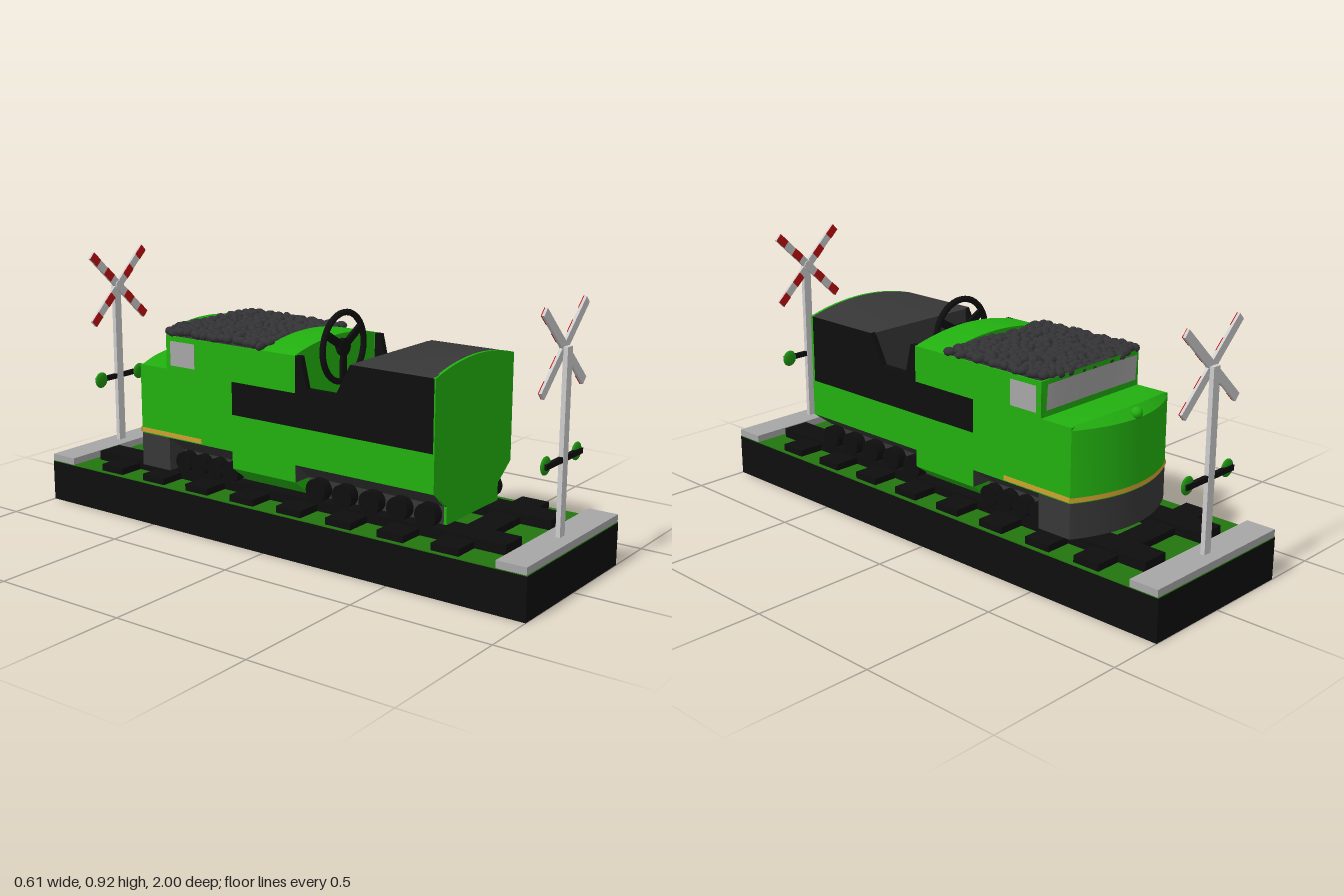
import * as THREE from 'three';

const mat = (name, color, side = THREE.FrontSide) => {
  const m = new THREE.MeshStandardMaterial({ color, side });
  m.name = name;
  return m;
};

export function createModel() {
  const D = THREE.DoubleSide;
  const green = mat('bright green', 0x22b010, D);
  const grass = mat('dark green', 0x22750f);
  const signal = mat('signal green', 0x1f9412);
  const black = mat('black', 0x0e0e0e);
  const grey = mat('dark grey', 0x373737, D);
  const coalGrey = mat('coal grey', 0x333336);
  const concrete = mat('mid grey', 0xa6a6a6, D);
  const white = mat('light grey', 0xcccccc);
  const yellow = mat('amber', 0xd0a030, D);
  const red = mat('red', 0xc01010);

  const model = new THREE.Group();
  const add = (name, geo, m, parent = model) => {
    const mesh = new THREE.Mesh(geo, m);
    mesh.name = name;
    parent.add(mesh);
    return mesh;
  };
  // box given by its limits
  const box = (name, x0, x1, y0, y1, z0, z1, m, parent) => {
    const mesh = add(name, new THREE.BoxGeometry(x1 - x0, y1 - y0, z1 - z0), m, parent);
    mesh.position.set((x0 + x1) / 2, (y0 + y1) / 2, (z0 + z1) / 2);
    return mesh;
  };
  const shapeOf = pts => new THREE.Shape(pts.map(p => new THREE.Vector2(...p)));
  // outline in (z, y), extruded inwards from both flanks
  const flanks = (name, pts, thick, m, outer = 0.24) => {
    for (const s of [1, -1]) {
      const g = new THREE.ExtrudeGeometry(shapeOf(pts), { depth: thick, bevelEnabled: false });
      g.rotateY(-Math.PI / 2);
      g.translate(s > 0 ? outer : -outer + thick, 0, 0);
      add(name, g, m);
    }
  };
  // surface f(u, v) -> [x, y, z], u in -1..1 across, v in 0..1
  const sheet = (name, f, m, nu = 16, nv = 1) => {
    const g = new THREE.PlaneGeometry(2, 1, nu, nv);
    const p = g.attributes.position;
    for (let i = 0; i < p.count; i++) p.setXYZ(i, ...f(p.getX(i), p.getY(i) + 0.5));
    g.computeVertexNormals();
    return add(name, g, m);
  };
  const bow = u => 1 - u * u;

  // track bed
  box('trackBase', -0.305, 0.305, 0, 0.147, -1, 1, black);
  box('ground', -0.305, 0.305, 0.147, 0.15, -1, 1, grass);
  for (let i = 0; i < 8; i++) {
    const z = -0.71 + i * 0.202;
    box('sleeper', -0.29, 0.29, 0.15, 0.174, z - 0.05, z + 0.05, black);
  }
  for (const s of [1, -1]) {
    box('rail', s * 0.145 - 0.05, s * 0.145 + 0.05, 0.15, 0.184, -0.865, 0.865, black);
    box('endSlab', -0.305, 0.305, 0.15, 0.175, s * 0.945 - 0.053, s * 0.945 + 0.053, concrete);
  }

  // flanks
  flanks('blackSidePanel', [[0.625, 0.44], [-0.18, 0.44], [-0.18, 0.555], [0.09, 0.555], [0.09, 0.68],
    [0.112, 0.68], [0.137, 0.575], [0.255, 0.575], [0.31, 0.68], [0.625, 0.68]], 0.022, black);
  flanks('greenSidePanel', [[0.625, 0.31], [0.625, 0.44], [-0.18, 0.44], [-0.18, 0.555], [0.09, 0.555],
    [0.09, 0.68], [-0.475, 0.68], [-0.475, 0.56], [-0.6, 0.56], [-0.6, 0.31], [-0.18, 0.31],
    [-0.18, 0.25], [0.09, 0.25], [0.09, 0.31]], 0.022, green);
  flanks('noseSideSkirt', [[-0.47, 0.19], [-0.47, 0.31], [-0.6, 0.31], [-0.6, 0.19]], 0.022, grey);
  flanks('sideStripe', [[-0.32, 0.314], [-0.32, 0.33], [-0.6, 0.33], [-0.6, 0.314]], 0.004, yellow, 0.242);
  flanks('sideWindow', [[-0.345, 0.575], [-0.345, 0.662], [-0.455, 0.662], [-0.455, 0.575]], 0.004, concrete, 0.242);

  // underside: slanted skirts, frame and wheels
  box('underframe', -0.16, 0.16, 0.19, 0.31, -0.6, 0.62, grey);
  for (const s of [1, -1]) {
    const slant = (name, x0, y0, x1, y1, z0, z1, m) => sheet(name,
      (u, v) => [s * (x0 + (x1 - x0) * v), y0 + (y1 - y0) * v, z0 + (z1 - z0) * (u + 1) / 2], m, 1);
    slant('rearBogieSkirt', 0.24, 0.31, 0.16, 0.25, 0.09, 0.63, grey);
    slant('frontBogieSkirt', 0.24, 0.31, 0.16, 0.25, -0.47, -0.18, grey);
    slant('middleSkirt', 0.24, 0.25, 0.16, 0.19, -0.18, 0.09, green);
    for (const z of [0.58, 0.473, 0.365, 0.257, 0.15, -0.22, -0.29, -0.362, -0.433]) {
      const r = z > 0 ? 0.04 : 0.036;
      const g = new THREE.CylinderGeometry(r, r, 0.04, 20).rotateZ(Math.PI / 2);
      add('wheel', g, black).position.set(s * 0.19, 0.184 + r, z);
    }
  }
  for (const z of [0.088, -0.178]) {
    box('bulkhead', -0.238, 0.238, 0.25, 0.31, z - 0.003, z + 0.003, grey);
    const end = shapeOf([[-0.24, 0.25], [-0.16, 0.19], [0.16, 0.19], [0.24, 0.25]]);
    add('middleSkirtEnd', new THREE.ShapeGeometry(end), green).position.z = z;
  }
  box('noseBulkhead', -0.238, 0.238, 0.19, 0.31, -0.476, -0.47, grey);

  // rear panel with arched top
  const rear = shapeOf([[0.24, 0.68], [0.24, 0.31], [0.16, 0.25], [0.16, 0.19], [-0.16, 0.19], [-0.16, 0.25],
    [-0.24, 0.31], [-0.24, 0.68]]);
  rear.quadraticCurveTo(0, 0.75, 0.24, 0.68);
  add('rearPanel', new THREE.ExtrudeGeometry(rear, { depth: 0.01, bevelEnabled: false, curveSegments: 16 }), green)
    .position.z = 0.62;

  // rear hood, fading from arched to flat, and the driver's pit
  sheet('rearHoodTop', (u, v) => [0.24 * u, 0.68 + 0.035 * bow(u) * v, 0.31 + 0.315 * v], grey);
  box('rearHoodFront', -0.22, 0.22, 0.45, 0.679, 0.305, 0.315, grey);
  box('pitFloor', -0.22, 0.22, 0.44, 0.46, 0.08, 0.31, grey);

  // dash block with arched roof
  const dash = shapeOf([[0.238, 0.68], [0.238, 0.45], [-0.238, 0.45], [-0.238, 0.68]]);
  dash.quadraticCurveTo(0, 0.745, 0.238, 0.68);
  add('dashBlock', new THREE.ExtrudeGeometry(dash, { depth: 0.14, bevelEnabled: false, curveSegments: 16 }), green)
    .position.z = -0.052;

  // steering wheel
  const steering = new THREE.Group();
  steering.name = 'steeringWheel';
  steering.position.set(0, 0.672, 0.112);
  model.add(steering);
  add('wheelRim', new THREE.TorusGeometry(0.118, 0.011, 10, 40), black, steering);
  add('wheelHub', new THREE.CylinderGeometry(0.03, 0.03, 0.018, 20).rotateX(Math.PI / 2), black, steering);
  add('steeringColumn', new THREE.CylinderGeometry(0.015, 0.015, 0.04, 12).rotateX(Math.PI / 2), black, steering)
    .position.z = -0.02;
  for (const a of [30, 150, 270]) {
    const g = new THREE.BoxGeometry(0.115, 0.026, 0.012).translate(0.058, 0, 0);
    add('wheelSpoke', g, black, steering).rotation.z = a * Math.PI / 180;
  }

  // coal load
  box('coalBed', -0.235, 0.235, 0.6, 0.682, -0.473, -0.052, coalGrey);
  let seed = 7;
  const rnd = () => (seed = (seed * 16807) % 2147483647) / 2147483647;
  const lump = new THREE.SphereGeometry(1, 9, 6);
  const coal = new THREE.Group();
  coal.name = 'coalLoad';
  model.add(coal);
  for (let i = 0; i < 17; i++) for (let j = 0; j < 16; j++) {
    const m = add('coalLump', lump, coalGrey, coal);
    const x = -0.222 + 0.444 * i / 16 + (rnd() - 0.5) * 0.016;
    const k = j / 15;
    const z = -0.068 - k * (0.395 + 0.035 * bow(x / 0.24)) + (rnd() - 0.5) * 0.016;
    m.position.set(x, 0.688 + rnd() * 0.008, z);
    m.scale.set(0.013 + rnd() * 0.007, 0.015, 0.017 + rnd() * 0.008);
    m.rotation.y = rnd() * Math.PI;
  }

  // windscreen leaning forwards, with its header
  const screen = (u, v, out = 0) =>
    [0.24 * u, 0.56 + v * (0.12 + 0.025 * bow(u)), -0.475 - 0.045 * v * bow(u) - out];
  sheet('windscreenFrame', (u, v) => screen(u, v), green);
  sheet('windscreen', (u, v) => screen(u * 0.92, 0.18 + 0.7 * v, 0.004), concrete);
  sheet('windscreenHeader', (u, v) => {
    const [x, y, z] = screen(u, 1);
    return [x, y - 0.02 * bow(u) * v, z + 0.02 * v];
  }, green);

  // bowed nose
  const nose = (u, y, out = 0) => [(0.24 + out) * u, y, -0.6 - 0.07 * bow(u) - out];
  const brow = u => [0.24 * u, 0.56 + 0.02 * bow(u), -0.59 - 0.045 * bow(u)];
  sheet('noseSkirt', (u, v) => nose(u, 0.19 + 0.12 * v), grey);
  sheet('nosePanel', (u, v) => nose(u, 0.31 + 0.24 * v), green);
  sheet('noseStripe', (u, v) => nose(u, 0.314 + 0.016 * v, 0.003), yellow);
  sheet('noseBevel', (u, v) => {
    const a = nose(u, 0.55), b = brow(u);
    return a.map((c, i) => c + (b[i] - c) * v);
  }, green);
  sheet('noseTop', (u, v) => {
    const a = [0.24 * u, 0.56, -0.475], b = brow(u);
    return a.map((c, i) => c + (b[i] - c) * v);
  }, green);
  add('noseLamp', new THREE.SphereGeometry(0.02, 16, 12), green).position.set(0, 0.565, -0.662);

  // crossing signs; the striped faces look inwards along the track
  for (const s of [1, -1]) {
    const sign = new THREE.Group();
    sign.name = 'crossingSign';
    sign.position.z = s * 0.946;
    if (s > 0) sign.rotation.y = Math.PI;
    model.add(sign);
    box('signPost', -0.016, 0.016, 0.175, 0.78, -0.008, 0.008, white, sign);
    for (const a of [1, -1]) {
      const arm = new THREE.Group();
      arm.name = 'crossArm';
      arm.position.set(0, 0.776, 0.012);
      arm.rotation.z = a * 0.755;
      sign.add(arm);
      box('crossBoard', -0.187, 0.187, -0.015, 0.015, -0.005, 0.005, white, arm);
      for (const r of [-0.164, -0.07, 0.07, 0.164])
        box('redStripe', r - 0.023, r + 0.023, -0.0152, 0.0152, 0.004, 0.007, red, arm);
    }
    add('signHub', new THREE.CylinderGeometry(0.02, 0.02, 0.012, 20).rotateX(Math.PI / 2), white, sign)
      .position.set(0, 0.776, 0.015);
    box('lampBar', -0.12, 0.12, 0.418, 0.436, -0.007, 0.007, black, sign);
    for (const x of [-0.102, 0.102]) {
      const lamp = add('signalLamp', new THREE.SphereGeometry(0.03, 20, 12), signal, sign);
      lamp.scale.z = 0.3;
      lamp.position.set(x, 0.427, 0.007);
    }
  }
  return model;
}
